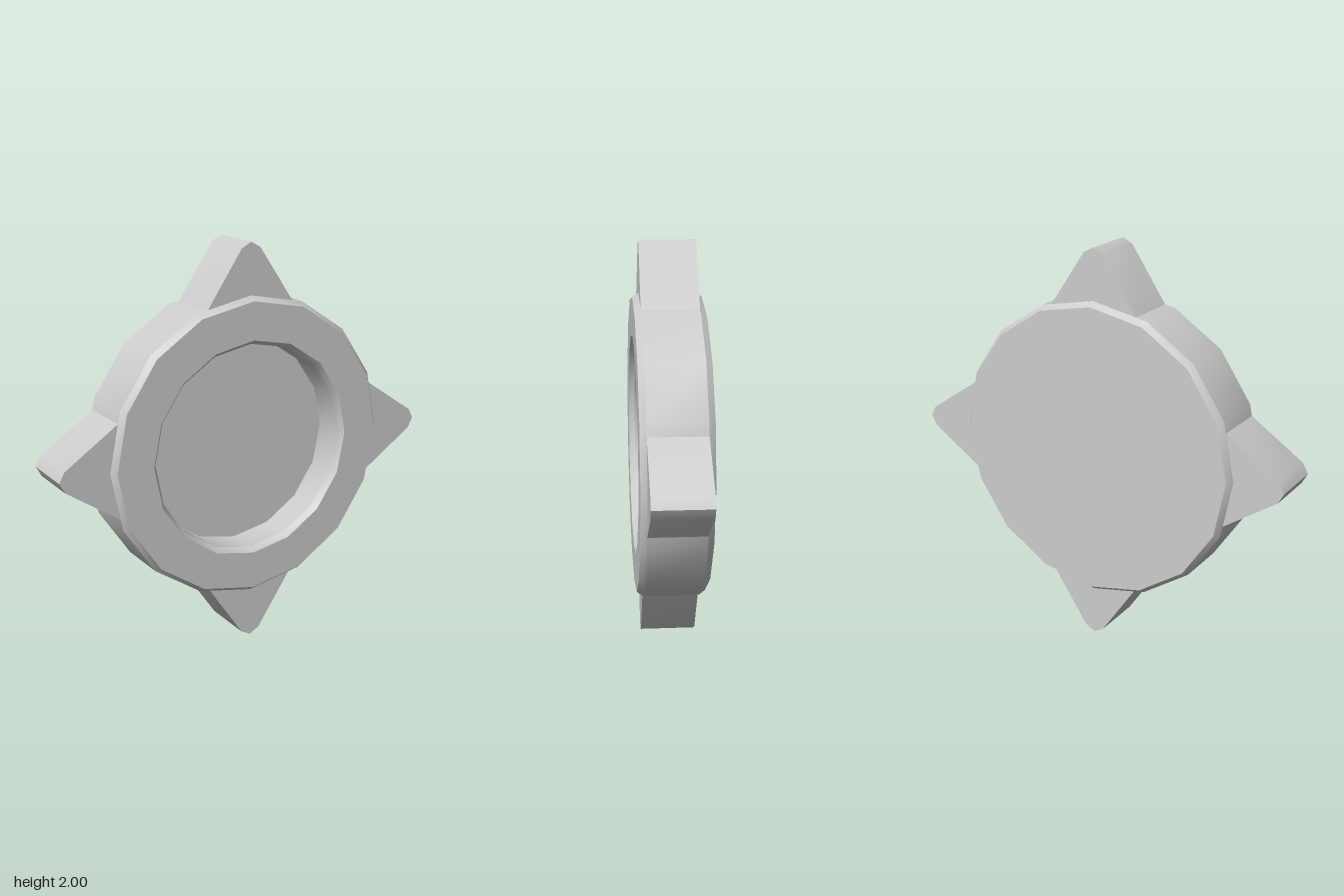
import * as THREE from 'three';
import { toCreasedNormals } from 'three/addons/utils/BufferGeometryUtils.js';

const CREASE = Math.PI / 6;

export function createModel() {
  const model = new THREE.Group();
  model.name = 'spikedDisc';
  const material = new THREE.MeshStandardMaterial({ color: 0xcccccc });

  // Sixteen-sided dish: flat back, chamfered rim, recessed front
  const profile = [
    [0, -0.167], [0.727, -0.167], [0.75, -0.137], [0.75, 0.137], [0.727, 0.167],
    [0.54, 0.167], [0.518, 0.137], [0.518, -0.02], [0, -0.02],
  ].map(([r, z]) => new THREE.Vector2(r, z));
  const dish = new THREE.LatheGeometry(profile, 16);
  dish.rotateX(Math.PI / 2);
  const body = new THREE.Mesh(toCreasedNormals(dish, CREASE), material);
  body.name = 'dishBody';
  body.position.y = 1;
  model.add(body);

  // Blunt-tipped spike, rooted inside the rim
  const outline = new THREE.Shape([
    [-0.302, 0.6], [0.302, 0.6], [0.05, 0.973], [0, 1], [-0.05, 0.973],
  ].map(([x, y]) => new THREE.Vector2(x, y)));
  const extruded = new THREE.ExtrudeGeometry(outline, { depth: 0.274, bevelEnabled: false });
  extruded.translate(0, 0, -0.137);
  const spikeGeometry = toCreasedNormals(extruded, CREASE);

  // Four spikes at quarter turns
  ['topSpike', 'leftSpike', 'bottomSpike', 'rightSpike'].forEach((name, i) => {
    const spike = new THREE.Mesh(spikeGeometry, material);
    spike.name = name;
    spike.position.y = 1;
    spike.rotation.z = -i * Math.PI / 2;
    model.add(spike);
  });

  return model;
}
